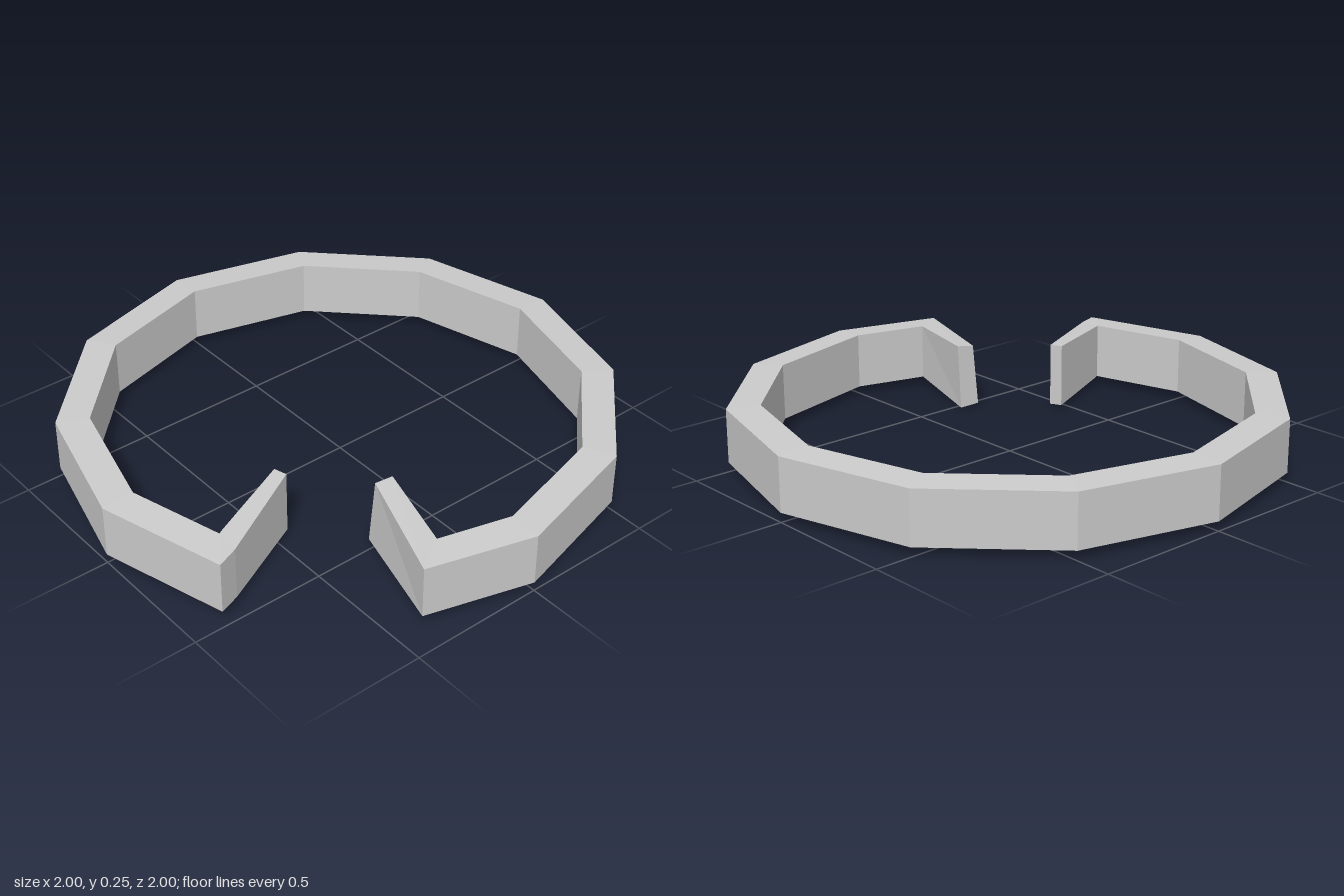
import * as THREE from 'three';

// A station is a four-cornered cross-section: outer bottom, outer top, inner top, inner bottom.
const station = (outer, inner, [ob, ot, it, ib] = [0.034, 0.23, 0.237, 0.028]) => [
  [outer[0], ob, outer[1]],
  [outer[0], ot, outer[1]],
  [inner[0], it, inner[1]],
  [inner[0], ib, inner[1]],
];

// Flat-sided bar through the stations, optionally closed at either end.
function sweep(name, stations, capStart, capEnd) {
  const pos = [];
  const quad = (a, b, c, d) => pos.push(...a, ...b, ...c, ...a, ...c, ...d);
  for (let i = 0; i < stations.length - 1; i++) {
    const s = stations[i], n = stations[i + 1];
    for (let k = 0; k < 4; k++) {
      const m = (k + 1) % 4;
      quad(s[k], s[m], n[m], n[k]);
    }
  }
  if (capStart) quad(...[...stations[0]].reverse());
  if (capEnd) quad(...stations[stations.length - 1]);
  const geometry = new THREE.BufferGeometry();
  geometry.setAttribute('position', new THREE.Float32BufferAttribute(pos, 3));
  geometry.computeVertexNormals();
  const mesh = new THREE.Mesh(
    geometry,
    new THREE.MeshStandardMaterial({ color: 0xcccccc, flatShading: true })
  );
  mesh.name = name;
  return mesh;
}

export function createModel() {
  const group = new THREE.Group();
  group.name = 'openRing';

  // Corners where the band turns inward
  const sideBend = station([-0.87, 0.47], [-0.785, 0.35]);
  const frontBend = station([-0.39, 0.89], [-0.265, 0.81]);

  // Twelve-sided band, open between the two bends
  const band = [sideBend];
  for (let k = 0; k <= 9; k++) {
    const a = Math.PI + (k * Math.PI) / 6;
    const c = Math.cos(a), s = Math.sin(a);
    band.push(station([c, s], [c * 0.88, s * 0.88]));
  }
  band.push(frontBend);
  group.add(sweep('band', band, false, false));

  // Side prong, flaring slightly taller towards its tip
  group.add(sweep('sideProng', [
    station([-0.44, 0.256], [-0.455, 0.21], [0.014, 0.25, 0.252, 0.016]),
    station([-0.79, 0.44], [-0.77, 0.343], [0.032, 0.232, 0.238, 0.027]),
    sideBend,
  ], true, false));

  // Front prong, its tip leaning a little outward at the bottom
  group.add(sweep('frontProng', [
    frontBend,
    [
      [-0.255, 0.007, 0.465],
      [-0.235, 0.24, 0.47],
      [-0.172, 0.247, 0.485],
      [-0.182, 0, 0.48],
    ],
  ], false, true));

  return group;
}
